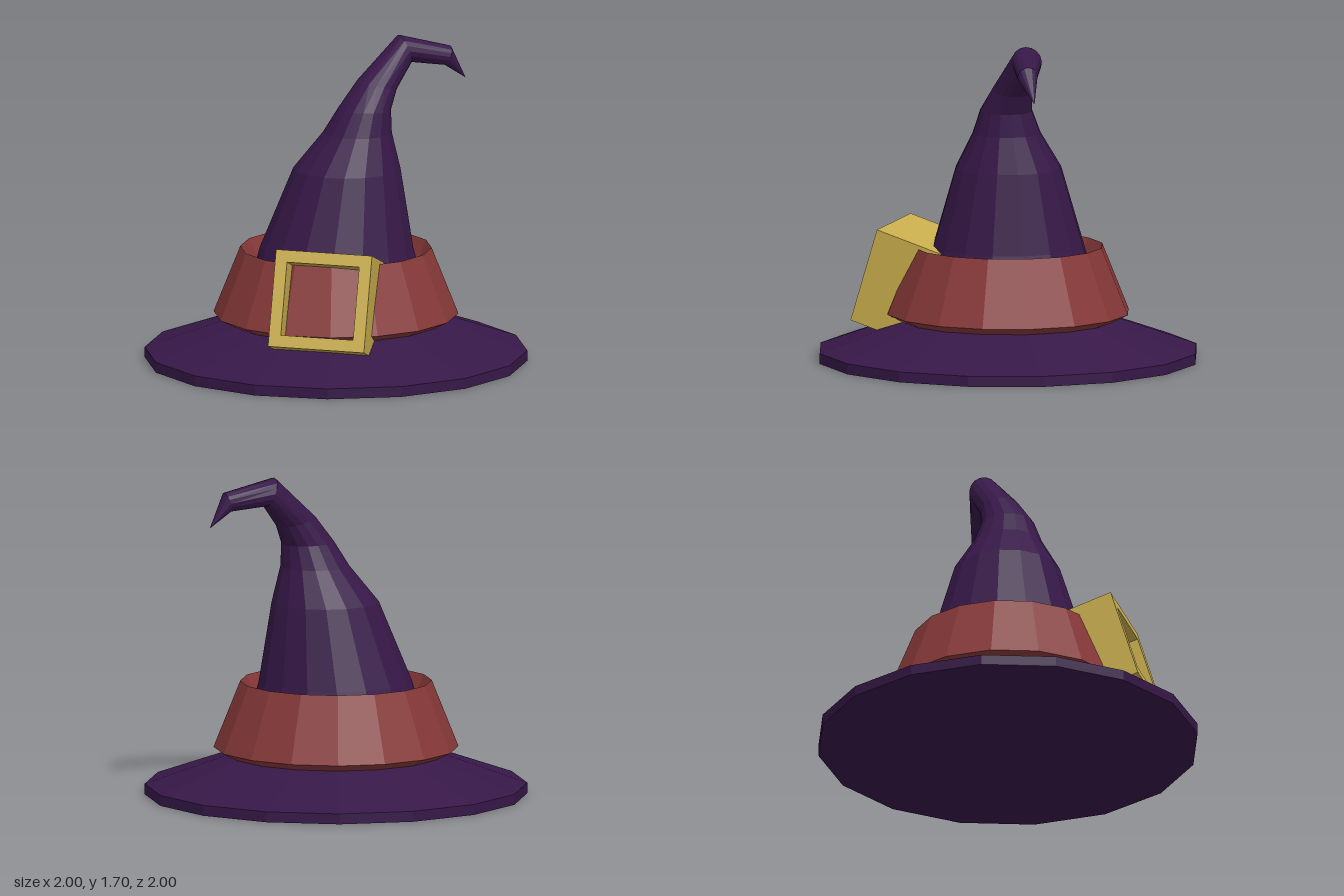
import * as THREE from 'three';

const SIDES = 16;
const mat = (color) => new THREE.MeshStandardMaterial({ color, flatShading: true });
const purple = mat(0x371848);
const red = mat(0x873838);
const gold = mat(0xc8ad4c);

function part(name, geometry, material) {
  const mesh = new THREE.Mesh(geometry, material);
  mesh.name = name;
  return mesh;
}

function lathe(profile) {
  return new THREE.LatheGeometry(profile.map(([r, y]) => new THREE.Vector2(r, y)), SIDES);
}

// Crooked crown: each ring is [centre x, y, z, radius, tilt in radians]
function crownGeometry() {
  const rings = [
    [0, 0.2, 0, 0.51, 0],
    [0.005, 0.6, 0, 0.4, 0],
    [0.05, 1.02, 0.03, 0.28, 0],
    [0.09, 1.21, 0.067, 0.18, 0],
    [0.12, 1.335, 0.09, 0.138, 0.03],
    [0.2, 1.455, 0.1, 0.105, 0.25],
    [0.372, 1.625, 0.125, 0.08, 1.19],
    [0.565, 1.58, 0.245, 0.053, 1.87],
    [0.67, 1.45, 0.27, 0, 1.87],
  ];
  const geometry = lathe(rings.map((ring) => [ring[3], ring[1]]));
  const pos = geometry.attributes.position;
  // The rings tip over towards this horizontal direction
  const dx = Math.cos(Math.PI / 8), dz = Math.sin(Math.PI / 8);
  for (let i = 0; i < pos.count; i++) {
    const [cx, cy, cz, , tilt] = rings[i % rings.length];
    const x = pos.getX(i), z = pos.getZ(i);
    const along = x * dx + z * dz;
    const across = z * dx - x * dz;
    const flat = along * Math.cos(tilt);
    pos.setXYZ(i,
      cx + dx * flat - dz * across,
      cy - along * Math.sin(tilt),
      cz + dz * flat + dx * across);
  }
  geometry.computeVertexNormals();
  return geometry;
}

// Square frame, its outer face at z = 0 and its body running back to -z
function buckleGeometry() {
  const outer = 0.255, inner = 0.192, depth = 0.38;
  const square = (Type, h) => {
    const path = new Type();
    path.moveTo(-h, -h).lineTo(h, -h).lineTo(h, h).lineTo(-h, h).closePath();
    return path;
  };
  const shape = square(THREE.Shape, outer);
  shape.holes.push(square(THREE.Path, inner));
  const geometry = new THREE.ExtrudeGeometry(shape, { depth, bevelEnabled: false });
  return geometry.translate(0, 0, -depth);
}

export function createModel() {
  const hat = new THREE.Group();
  hat.name = 'pointedHat';

  // Wide brim with a flat underside
  hat.add(part('brim', lathe([[0, 0], [1, 0], [1, 0.055], [0.5, 0.231]]), purple));
  hat.add(part('crown', crownGeometry(), purple));

  // Flared band, standing clear of the crown at its top edge
  hat.add(part('band', lathe([[0.5, 0.18], [0.64, 0.25], [0.5, 0.6], [0.43, 0.44]]), red));

  // Buckle leaning against the band
  const buckle = part('buckle', buckleGeometry(), gold);
  const up = new THREE.Vector3(0.256, 0.955, -0.157).normalize();
  const out = new THREE.Vector3(-0.762, 0.3, 0.581).normalize();
  const side = new THREE.Vector3().crossVectors(up, out).normalize();
  out.crossVectors(side, up);
  buckle.quaternion.setFromRotationMatrix(new THREE.Matrix4().makeBasis(side, up, out));
  buckle.position.set(-0.526, 0.457, 0.452);
  hat.add(buckle);

  return hat;
}
